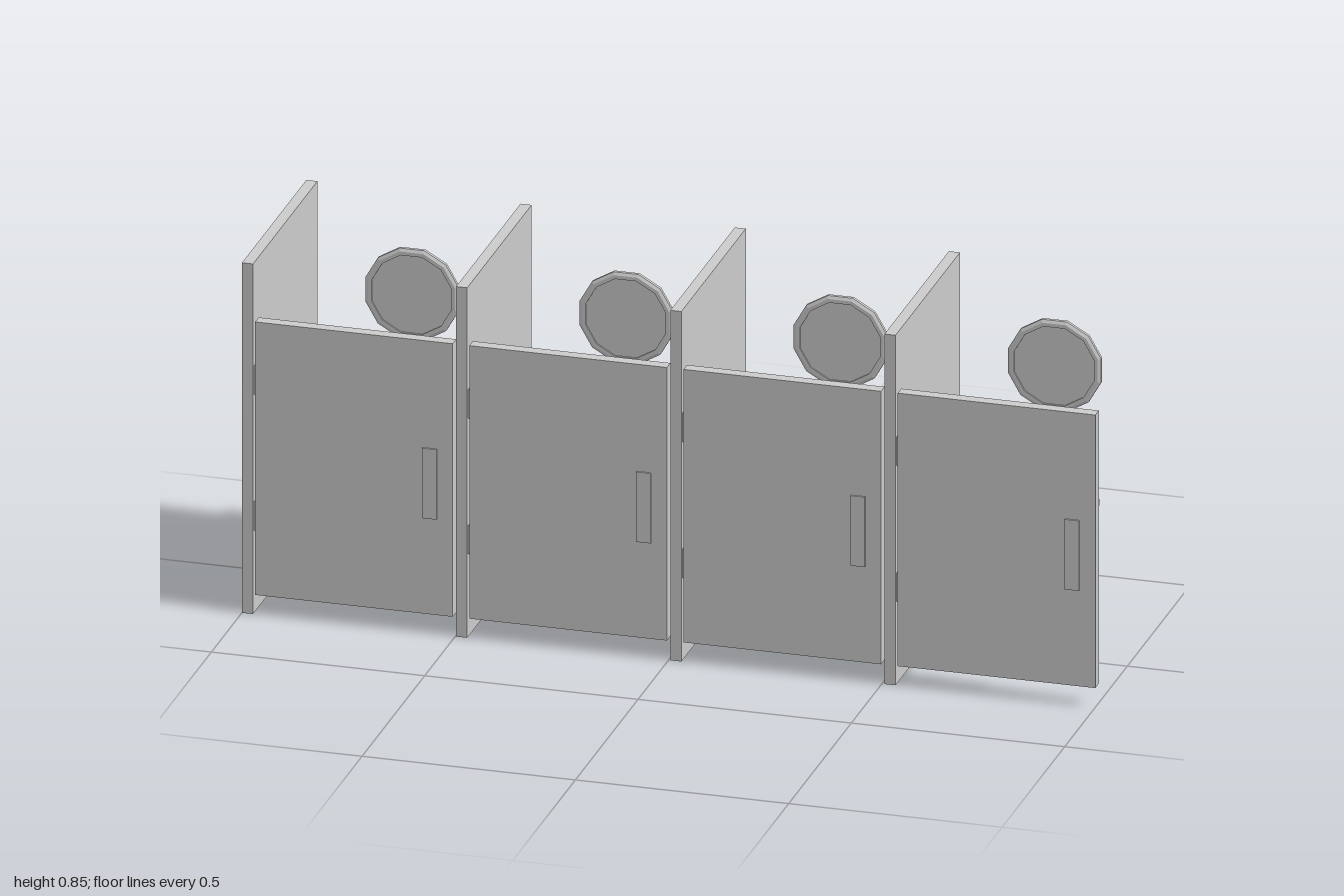
import * as THREE from 'three';

const grey = new THREE.MeshStandardMaterial({ color: 0xcccccc, side: THREE.DoubleSide });
const flat = new THREE.MeshStandardMaterial({ color: 0xcccccc, side: THREE.DoubleSide, flatShading: true });
const PITCH = 0.502;

function add(parent, name, geometry, material = grey) {
  const mesh = new THREE.Mesh(geometry, material);
  mesh.name = name;
  parent.add(mesh);
  return mesh;
}

// Box given by its minimum and maximum corners
function box(parent, name, [x0, y0, z0], [x1, y1, z1]) {
  const mesh = add(parent, name, new THREE.BoxGeometry(x1 - x0, y1 - y0, z1 - z0));
  mesh.position.set((x0 + x1) / 2, (y0 + y1) / 2, (z0 + z1) / 2);
  return mesh;
}

// Oval turned part: the profile's radius is half its length in z
function oval(parent, name, profile, z, ratio) {
  const points = profile.map(([r, y]) => new THREE.Vector2(r, y));
  const mesh = add(parent, name, new THREE.LatheGeometry(points, 20));
  mesh.scale.x = ratio;
  mesh.position.z = z;
  return mesh;
}

function makeToilet() {
  const g = new THREE.Group();
  g.name = 'toilet';
  oval(g, 'bowl', [[0, 0.012], [0.083, 0.012], [0.083, 0.012], [0.083, 0.068], [0.089, 0.08],
    [0.103, 0.096], [0.11, 0.112], [0.112, 0.125], [0.112, 0.125], [0.113, 0.14], [0.108, 0.145], [0, 0.145]], -0.055, 0.64);
  oval(g, 'seatLid', [[0, 0.146], [0.1, 0.146], [0.104, 0.149], [0.104, 0.152], [0.1, 0.155],
    [0.1, 0.155], [0, 0.155]], -0.048, 0.7);

  // Cistern shell, open at the back
  box(g, 'cisternFront', [-0.1, 0.145, -0.169], [0.1, 0.293, -0.16]);
  for (const s of [-1, 1]) {
    const x = s * 0.096;
    box(g, 'cisternSide', [x - 0.004, 0.145, -0.212], [x + 0.004, 0.293, -0.165]);
  }
  box(g, 'cisternFloor', [-0.096, 0.145, -0.212], [0.096, 0.152, -0.165]);
  box(g, 'cisternLid', [-0.106, 0.293, -0.215], [0.106, 0.307, -0.153]);

  // Flush lever
  box(g, 'flushLever', [-0.118, 0.27, -0.158], [-0.085, 0.276, -0.154]);
  add(g, 'leverKnob', new THREE.SphereGeometry(0.006, 10, 8)).position.set(-0.085, 0.273, -0.157);

  // Bent pipe from the cistern down to the bowl
  const path = new THREE.CatmullRomCurve3([[0.15, -0.191], [0.122, -0.191], [0.108, -0.187],
    [0.102, -0.176], [0.102, -0.14]].map(([y, z]) => new THREE.Vector3(0, y, z)));
  add(g, 'flushPipe', new THREE.TubeGeometry(path, 16, 0.013, 10));
  return g;
}

function makeMirror() {
  const g = new THREE.Group();
  g.name = 'mirror';
  const rim = [[0.097, -0.008], [0.106, -0.008], [0.113, -0.004], [0.113, 0.004],
    [0.106, 0.008], [0.097, 0.008], [0.097, -0.008]].map(([r, y]) => new THREE.Vector2(r, y));
  add(g, 'mirrorFrame', new THREE.LatheGeometry(rim, 12), flat);
  add(g, 'mirrorPane', new THREE.CylinderGeometry(0.1, 0.1, 0.008, 12), flat);
  // Flat edge of the twelve-sided frame points up
  g.rotation.set(Math.PI / 2, Math.PI / 12, 0);
  g.position.set(0, 0.61, -0.24);
  return g;
}

function makePaperHolder() {
  const g = new THREE.Group();
  g.name = 'paperHolder';
  box(g, 'holderCap', [0.026, 0.236, -0.1], [0.088, 0.247, -0.043]);
  box(g, 'holderBack', [0.025, 0.162, -0.1], [0.031, 0.236, -0.043]);
  const roll = [[0.01, 0], [0.0285, 0], [0.0285, 0], [0.0285, 0.074], [0.0285, 0.074],
    [0.01, 0.074], [0.01, 0.074], [0.01, 0]].map(([r, y]) => new THREE.Vector2(r, y));
  add(g, 'paperRoll', new THREE.LatheGeometry(roll, 20)).position.set(0.058, 0.162, -0.0715);
  return g;
}

export function createModel() {
  const model = new THREE.Group();
  model.name = 'toiletStalls';
  for (let i = 0; i < 4; i++) {
    const stall = new THREE.Group();
    stall.name = 'stall';
    stall.position.x = -1 + PITCH * i;
    model.add(stall);

    box(stall, 'partition', [0, 0, -0.258], [0.026, 0.85, 0.256]);
    box(stall, 'door', [0.031, 0.047, 0.228], [0.494, 0.71, 0.256]);
    box(stall, 'doorHandle', [0.423, 0.28, 0.218], [0.457, 0.45, 0.26]);
    for (const y of [0.2, 0.53]) box(stall, 'hinge', [0.024, y, 0.236], [0.033, y + 0.07, 0.248]);
    stall.add(makePaperHolder());

    const mirror = makeMirror();
    mirror.position.x = 0.254;
    stall.add(mirror);

    // The second stall has no toilet
    if (i !== 1) {
      const toilet = makeToilet();
      toilet.position.x = 0.26;
      stall.add(toilet);
    }
  }
  return model;
}
